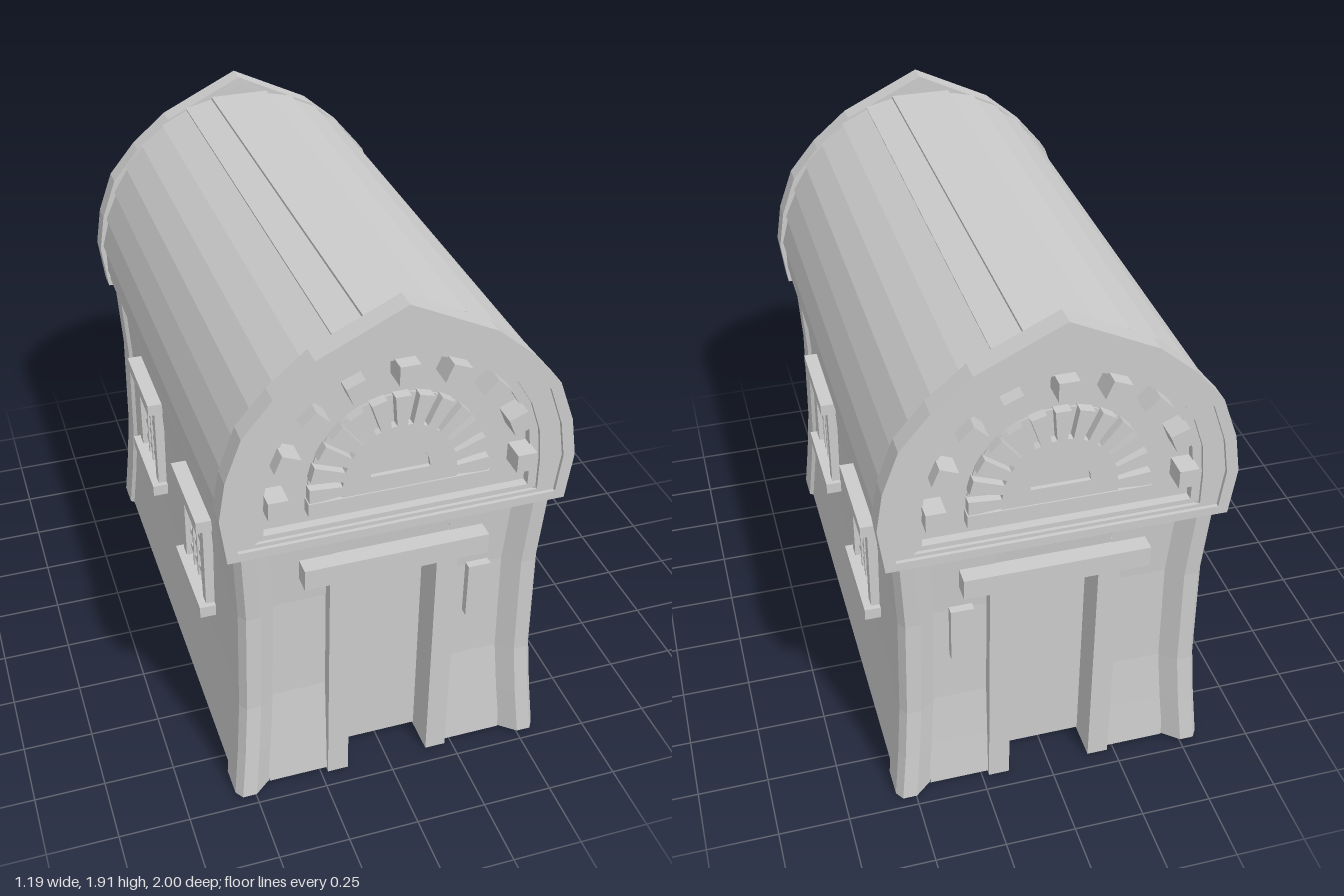
import * as THREE from 'three';

const mat = new THREE.MeshStandardMaterial({ color: 0xcccccc, flatShading: true, side: THREE.DoubleSide });

function add(parent, geometry, name) {
  const m = new THREE.Mesh(geometry, mat);
  m.name = name;
  parent.add(m);
  return m;
}

// box given by its minimum and maximum along each axis
function block(parent, name, x0, x1, y0, y1, z0, z1) {
  const m = add(parent, new THREE.BoxGeometry(x1 - x0, y1 - y0, z1 - z0), name);
  m.position.set((x0 + x1) / 2, (y0 + y1) / 2, (z0 + z1) / 2);
  return m;
}

// open skin over equal rows of [x, y, z] points
function loft(parent, name, rows) {
  const n = rows[0].length, index = [];
  for (let r = 0; r < rows.length - 1; r++)
    for (let i = 0; i < n - 1; i++) {
      const a = r * n + i, b = a + n;
      index.push(a, a + 1, b, a + 1, b + 1, b);
    }
  const g = new THREE.BufferGeometry();
  g.setAttribute('position', new THREE.Float32BufferAttribute(rows.flat(2), 3));
  g.setIndex(index);
  const flat = g.toNonIndexed();
  flat.computeVertexNormals();
  return add(parent, flat, name);
}

// flat outline pushed from z0 to z1, with an optional hole
function slab(parent, name, outline, z0, z1, hole) {
  const toV = pts => pts.map(p => new THREE.Vector2(p[0], p[1]));
  const s = new THREE.Shape(toV(outline));
  if (hole) s.holes.push(new THREE.Path(toV(hole)));
  const g = new THREE.ExtrudeGeometry(s, { depth: z1 - z0, bevelEnabled: false });
  g.translate(0, 0, z0);
  return add(parent, g, name);
}

// half-ellipse outline on straight legs
function arch(rx, base, spring, top, n = 14) {
  const pts = [[-rx, base], [rx, base]];
  for (let i = 0; i <= n; i++) {
    const a = Math.PI * i / n;
    pts.push([rx * Math.cos(a), spring + (top - spring) * Math.sin(a)]);
  }
  return base === spring ? pts.slice(2) : pts;
}

const mirrored = half => [...half, ...half.slice().reverse().filter(p => p[0] > 0).map(([x, y]) => [-x, y])];

// flare of the corner posts: height, outer x, outer z
const flare = [[0.01, 0.57, 0.97], [0.2, 0.552, 0.955], [0.4, 0.538, 0.94], [0.8, 0.532, 0.94], [1.13, 0.55, 0.96]];

function cornerPost(parent, sx, sz) {
  const section = [[0.02, 0.15], [0, 0.135], [0, 0.03], [0.02, 0], [0.07, 0], [0.13, 0.05], [0.13, 0.15], [0.02, 0.15]];
  loft(parent, 'cornerPost', flare.map(([y, ox, oz]) =>
    section.map(([dx, dz]) => [sx * (ox - dx), y, sz * (oz - dz)])));
}

function sideWall(parent, s) {
  loft(parent, 'sideWall', flare.map(([y, ox]) => [[s * (ox - 0.014), y, 0.85], [s * (ox - 0.014), y, -0.85]]));
  for (const z of [-0.375, 0.375]) {
    const w = new THREE.Group();
    w.name = 'window';
    w.position.z = z;
    if (s < 0) w.rotation.y = Math.PI;
    parent.add(w);
    block(w, 'windowLintel', 0.49, 0.58, 0.885, 0.93, -0.183, 0.183);
    block(w, 'windowSill', 0.49, 0.58, 0.505, 0.55, -0.183, 0.183);
    for (const k of [-1, 1]) {
      const j = block(w, 'windowJamb', 0.49, 0.553, 0.55, 0.885, -0.022, 0.022);
      j.position.z = k * 0.142;
    }
    for (let i = -1; i <= 1; i++)
      block(w, 'uprightBar', 0.505, 0.54, 0.55, 0.885, i * 0.06 - 0.007, i * 0.06 + 0.007);
    for (let i = 0; i < 4; i++)
      block(w, 'crossBar', 0.505, 0.535, 0.581 + i * 0.073, 0.603 + i * 0.073, -0.12, 0.12);
  }
}

// decorated gable, drawn facing +z
function gable(parent) {
  const g = new THREE.Group();
  g.name = 'gable';
  parent.add(g);
  const outer = mirrored([[0.575, 1.08], [0.597, 1.25], [0.575, 1.39], [0.52, 1.54], [0.42, 1.66], [0.29, 1.77], [0, 1.91]]);
  const inner = mirrored([[0.54, 1.112], [0.557, 1.25], [0.537, 1.38], [0.488, 1.52], [0.395, 1.635], [0.27, 1.745], [0, 1.878]]);
  const big = arch(0.48, 1.125, 1.25, 1.755);
  const small = arch(0.45, 1.143, 1.25, 1.715);
  slab(g, 'gableRim', outer, 0.9, 0.975, inner);
  slab(g, 'gableFace', inner, 0.9, 0.962, big);
  slab(g, 'archMoulding', big, 0.9, 0.95, small);
  slab(g, 'gablePanel', small, 0.9, 0.918);
  // square blocks around the arch
  for (let i = 0; i <= 8; i++) {
    const a = Math.PI * i / 8;
    const b = block(g, 'archBlock', -0.033, 0.033, -0.033, 0.033, 0.915, 1);
    b.position.x = 0.415 * Math.cos(a);
    b.position.y = 1.27 + 0.412 * Math.sin(a);
    b.rotation.z = a;
  }
  // sunburst fan over a base bar
  block(g, 'fanBase', -0.305, 0.305, 1.19, 1.238, 0.915, 0.96);
  slab(g, 'fanBack', arch(0.3, 1.238, 1.26, 1.575), 0.915, 0.925);
  for (let i = 0; i <= 12; i++) {
    const a = Math.PI * i / 12, d = 0.085;
    const at = (r, t) => [r * Math.cos(t), 1.262 + r * 1.05 * Math.sin(t)];
    slab(g, 'fanRay', [at(0.185, a - d), at(0.302, a - d), at(0.302, a + d), at(0.185, a + d)], 0.915, 0.955);
  }
  const hub = arch(0.1, 1.297, 1.297, 1.395, 10);
  slab(g, 'fanHubRing', arch(0.192, 1.238, 1.275, 1.475, 12), 0.915, 0.955, hub);
  slab(g, 'fanHub', hub, 0.915, 0.94);
}

// end wall with doorway; plaqueSide chooses the side for the wall plaque
function endWall(parent, plaqueSide) {
  const e = new THREE.Group();
  e.name = 'endWall';
  parent.add(e);
  for (const s of [-1, 1]) {
    loft(e, 'doorSideWall', flare.map(([y, , oz]) => [[s * 0.2, y, oz - 0.045], [s * 0.44, y, oz - 0.045]]));
    block(e, 'doorJamb', s > 0 ? 0.15 : -0.225, s > 0 ? 0.225 : -0.15, 0, 0.91, 0.78, 0.938);
  }
  loft(e, 'wallOverDoor', flare.slice(-2).map(([y, , oz], i) => [[-0.2, i ? y : 0.9, oz - 0.043], [0.2, i ? y : 0.9, oz - 0.043]]));
  block(e, 'door', -0.15, 0.15, 0.01, 0.9, 0.79, 0.81);
  block(e, 'doorHead', -0.15, 0.15, 0.9, 0.92, 0.79, 0.92);
  block(e, 'doorLintel', -0.32, 0.32, 0.9, 0.977, 0.88, 0.966);
  const p = block(e, 'wallPlaque', -0.04, 0.04, 0.6, 0.813, 0.88, 0.925);
  p.position.x = plaqueSide * 0.315;
  gable(e);
  return e;
}

function roof(parent) {
  const r = new THREE.Group();
  r.name = 'roof';
  parent.add(r);
  const half = [[0.553, 1.11], [0.56, 1.15], [0.571, 1.26], [0.55, 1.375], [0.511, 1.485], [0.46, 1.585],
    [0.392, 1.667], [0.307, 1.738], [0.212, 1.795], [0.11, 1.828]];
  // inner shell including the eaves
  const shell = mirrored([[0.52, 1.105], ...half]);
  loft(r, 'roofShell', [-0.9, 0.9].map(z => shell.map(([x, y]) => [x, y, z])));
  // overlapping planks, lifted at the lower edge
  for (const s of [-1, 1])
    for (let i = 0; i < half.length - 1; i++) {
      const [ax, ay] = half[i], [bx, by] = half[i + 1];
      const l = Math.hypot(bx - ax, by - ay), nx = (by - ay) / l, ny = (ax - bx) / l;
      const q = [[ax, ay], [ax + nx * 0.014, ay + ny * 0.014], [bx + nx * 0.004, by + ny * 0.004], [bx, by]];
      slab(r, 'roofPlank', q.map(([x, y]) => [s * x, y]), -0.9, 0.9);
    }
  block(r, 'ridgePlank', -0.112, 0.112, 1.826, 1.842, -0.9, 0.9);
}

export function createModel() {
  const model = new THREE.Group();
  model.name = 'house';
  for (const s of [-1, 1]) {
    sideWall(model, s);
    for (const t of [-1, 1]) cornerPost(model, s, t);
  }
  endWall(model, 1);
  endWall(model, -1).rotation.y = Math.PI;
  roof(model);
  return model;
}
